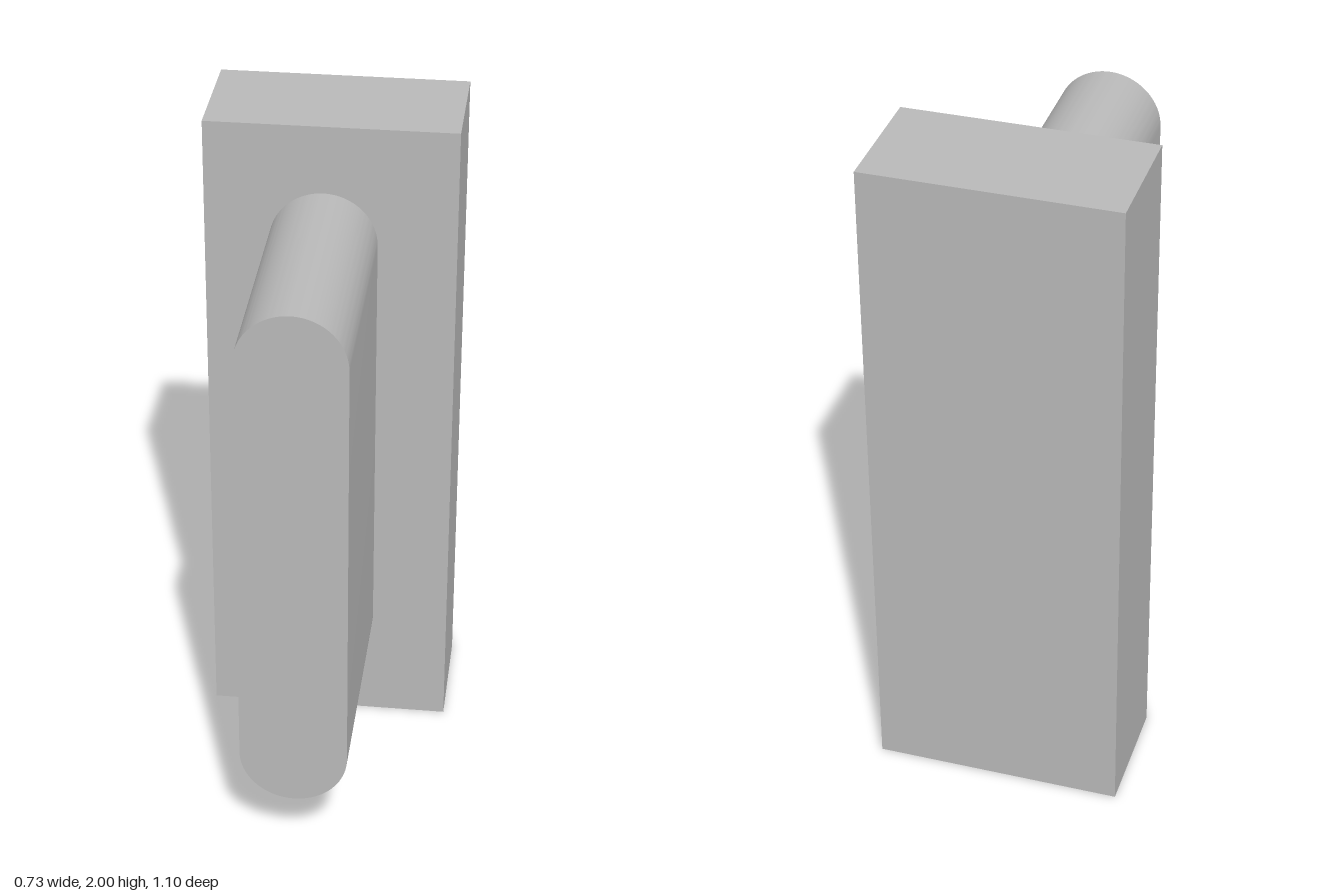
import * as THREE from 'three';
import { toCreasedNormals } from 'three/addons/utils/BufferGeometryUtils.js';

export function createModel() {
  const model = new THREE.Group();
  model.name = 'wallHandle';
  const grey = new THREE.MeshStandardMaterial({ color: 0xb8b8b8 });
  grey.name = 'grey';

  const add = (parent, name, geometry, x, y, z) => {
    const mesh = new THREE.Mesh(geometry, grey);
    mesh.name = name;
    mesh.position.set(x, y, z);
    parent.add(mesh);
    return mesh;
  };
  const extrude = (shape, depth) => toCreasedNormals(
    new THREE.ExtrudeGeometry(shape, { depth, bevelEnabled: false, curveSegments: 32 }), 0.6);

  const backZ = -0.1825, frontZ = 0.547; // slab ends
  const r = 0.156, y0 = 0.2 + r, y1 = 1.795 - r; // slab rounding
  const slabX = -0.0205, depth = 0.1; // slab axis, pocket depth

  // Upright base block
  add(model, 'baseBlock', new THREE.BoxGeometry(0.727, 2, 0.3625), 0, 1, backZ - 0.18125);

  // Round-ended slab, recessed on one flank to take the pocketed plate
  const profile = new THREE.Shape();
  profile.moveTo(-r, y0);
  profile.absarc(0, y0, r, Math.PI, 2 * Math.PI, false);
  profile.lineTo(r, y1);
  profile.absarc(0, y1, r, 0, Math.PI, false);
  profile.lineTo(-r + depth, y1);
  profile.lineTo(-r + depth, y0);
  add(model, 'slab', extrude(profile, frontZ - backZ), slabX, 0, backZ);

  // Flank group: local x runs to the front, local z points outward
  const flank = new THREE.Group();
  flank.name = 'pocketedFlank';
  flank.position.x = slabX - r + depth;
  flank.rotation.y = -Math.PI / 2;
  model.add(flank);

  // Round pockets, each with an off-centre stud
  const pockets = [
    { name: 'upper', x: 0.28, y: 1.313, r: 0.245, sx: 0.345, sy: 1.38, sr: 0.102 },
    { name: 'lower', x: 0.17, y: 0.78, r: 0.297, sx: 0.155, sy: 0.656, sr: 0.126 },
  ];
  const plate = new THREE.Shape([
    new THREE.Vector2(backZ, y0), new THREE.Vector2(frontZ, y0),
    new THREE.Vector2(frontZ, y1), new THREE.Vector2(backZ, y1),
  ]);
  const studHeight = 0.05;
  for (const p of pockets) {
    plate.holes.push(new THREE.Path().absarc(p.x, p.y, p.r, 0, 2 * Math.PI, true));
    const stud = new THREE.CylinderGeometry(p.sr, p.sr, studHeight, 48).rotateX(Math.PI / 2);
    add(flank, p.name + 'Stud', stud, p.sx, p.sy, studHeight / 2);
  }
  add(flank, 'pocketPlate', extrude(plate, depth), 0, 0, 0);

  // Slight turn of the whole piece
  model.rotation.y = 0.0175;
  return model;
}
